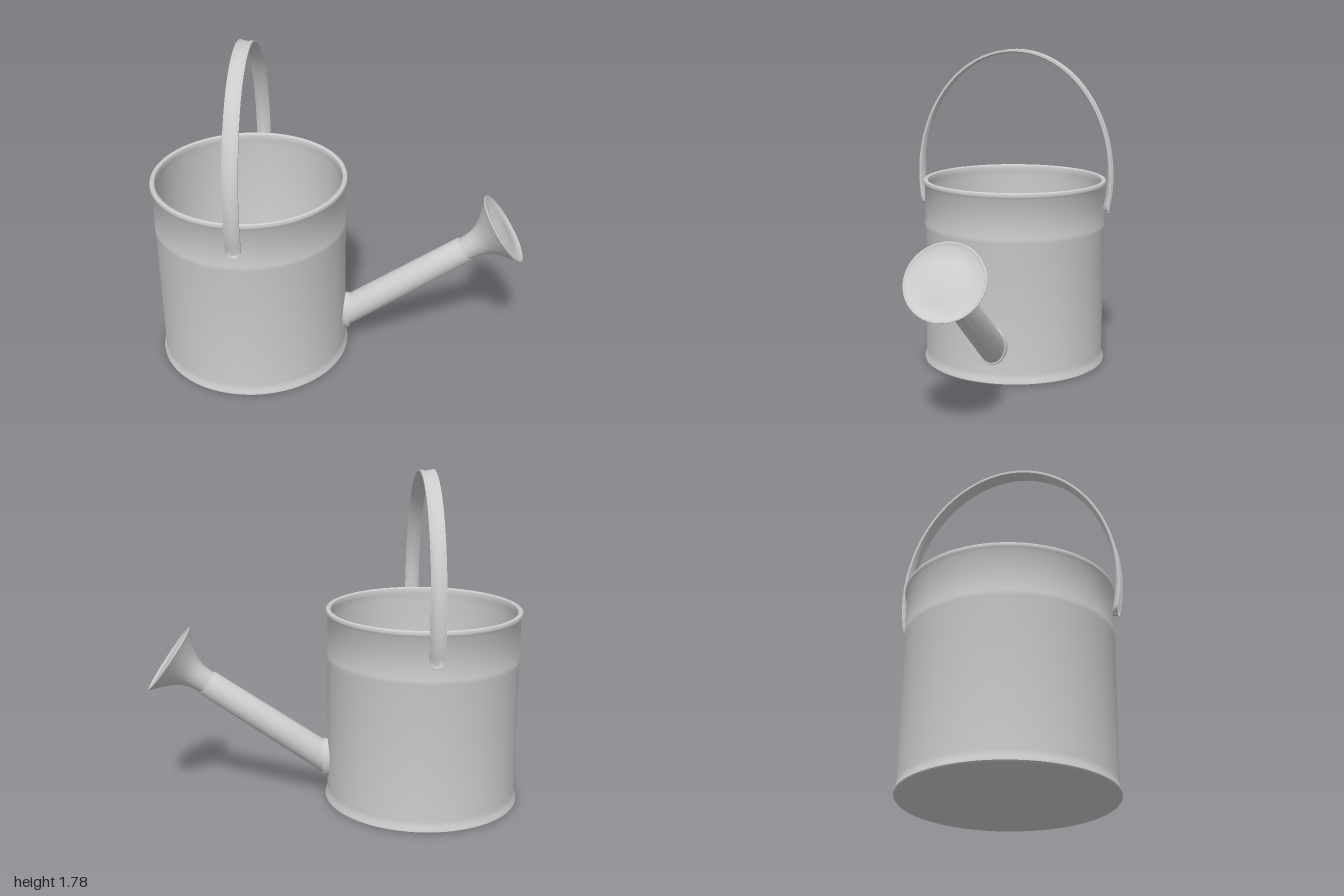
import * as THREE from 'three';
import { toCreasedNormals } from 'three/addons/utils/BufferGeometryUtils.js';

const BODY_X = -0.475;
const AIM = new THREE.Vector3(0.823, 0.568, 0).normalize(); // spout direction
const FACE = new THREE.Vector3(0.877, 0.792, 0); // centre of the sprinkler face

const metal = new THREE.MeshStandardMaterial({ color: 0xcccccc });
const thinMetal = new THREE.MeshStandardMaterial({ color: 0xcccccc, side: THREE.DoubleSide });

function lathe(points, segments) {
  return new THREE.LatheGeometry(points.map(([r, y]) => new THREE.Vector2(r, y)), segments);
}

function addMesh(group, name, geometry, material = metal) {
  const mesh = new THREE.Mesh(toCreasedNormals(geometry, 0.7), material);
  mesh.name = name;
  group.add(mesh);
  return mesh;
}

// Turn a geometry from the y axis onto the spout axis, with its origin at the face
function alongSpout(geometry) {
  geometry.rotateZ(-Math.atan2(AIM.x, AIM.y));
  return geometry.translate(FACE.x, FACE.y, 0);
}

// Channel-shaped strap swept along an arch, with rounded ends
function handleGeometry() {
  const arch = new THREE.CatmullRomCurve3([]);
  const reach = 0.29;
  for (let i = 0; i <= 32; i++) {
    const a = -reach + (Math.PI + 2 * reach) * i / 32;
    arch.points.push(new THREE.Vector3(0, 1.08 + 0.69 * Math.sin(a), 0.543 * Math.cos(a)));
  }
  const steps = 96, across = 8, ring = 2 * (across + 1);
  const pos = [], index = [];
  for (let i = 0; i <= steps; i++) {
    // finer steps close to the ends
    const s = i / steps, t = s - Math.sin(2 * Math.PI * s) / (2 * Math.PI) * 0.9;
    const p = arch.getPointAt(t), d = arch.getTangentAt(t);
    const out = new THREE.Vector3(0, d.z, -d.y).multiplyScalar(-1);
    const endGap = Math.min(t, 1 - t) / 0.018;
    const half = 0.039 * (endGap < 1 ? Math.sqrt(Math.max(0.12, 1 - (1 - endGap) ** 2)) : 1);
    const curl = 0.022 - 0.014 * Math.sin(Math.PI * t);
    for (let k = 0; k < ring; k++) {
      const outer = k <= across;
      const u = (outer ? k : ring - 1 - k) / across * 2 - 1;
      const h = curl * (u * u - 0.4) + (outer ? 0.006 : -0.006);
      pos.push(BODY_X + u * half, p.y + out.y * h, p.z + out.z * h);
    }
  }
  for (let i = 0; i < steps; i++) {
    for (let k = 0; k < ring; k++) {
      const a = i * ring + k, b = i * ring + (k + 1) % ring;
      index.push(a, b, a + ring, b, b + ring, a + ring);
    }
  }
  for (let k = 1; k < ring - 1; k++) {
    const e = steps * ring;
    index.push(0, k + 1, k, e, e + k, e + k + 1);
  }
  const geometry = new THREE.BufferGeometry();
  geometry.setAttribute('position', new THREE.Float32BufferAttribute(pos, 3));
  geometry.setIndex(index);
  geometry.computeVertexNormals();
  return geometry;
}

export function createModel() {
  const group = new THREE.Group();
  group.name = 'wateringCan';

  // Open bucket with base flange, shallow bead, rolled rim and inner floor
  const bucket = addMesh(group, 'bucket', lathe([
    [0, 0], [0.518, 0], [0.523, 0.006], [0.522, 0.015], [0.513, 0.03], [0.511, 0.06],
    [0.511, 0.77], [0.514, 0.785], [0.514, 0.805], [0.511, 0.82], [0.511, 1.02],
    [0.518, 1.03], [0.521, 1.042], [0.517, 1.053], [0.507, 1.057], [0.495, 1.052],
    [0.491, 1.04], [0.494, 1.02], [0.496, 0.98], [0.496, 0.05], [0.485, 0.03], [0, 0.025],
  ], 96));
  bucket.position.x = BODY_X;

  // Carrying handle
  addMesh(group, 'handle', handleGeometry(), thinMetal);

  // Spout tube, its lower end cut upright against the bucket wall
  const tube = alongSpout(lathe([[0.078, -1.0], [0.071, -0.245], [0.068, -0.238], [0.058, -0.238]], 40));
  const p = tube.attributes.position;
  for (let i = 0; i < p.count; i += 4) {
    const shift = (0.027 - p.getX(i)) / AIM.x;
    p.setXY(i, 0.027, p.getY(i) + shift * AIM.y);
  }
  tube.computeVertexNormals();
  addMesh(group, 'spout', tube, thinMetal);

  // Oval collar where the spout meets the bucket
  const collar = lathe([[0.086, -0.03], [0.086, 0.018], [0.082, 0.026], [0.074, 0.026]], 40);
  collar.rotateZ(-Math.PI / 2).scale(1, 1.22, 1).translate(0.038, 0.22, 0);
  addMesh(group, 'spoutCollar', collar, thinMetal);

  // Flared sprinkler head with a slightly dished face
  addMesh(group, 'sprinklerHead', alongSpout(lathe([
    [0.062, -0.27], [0.064, -0.22], [0.07, -0.17], [0.086, -0.125], [0.112, -0.088],
    [0.145, -0.052], [0.178, -0.02], [0.197, -0.005], [0.198, 0.001], [0.192, 0.003],
    [0.176, -0.008], [0.12, -0.01], [0.1, -0.006], [0, -0.004],
  ], 48)));

  return group;
}
